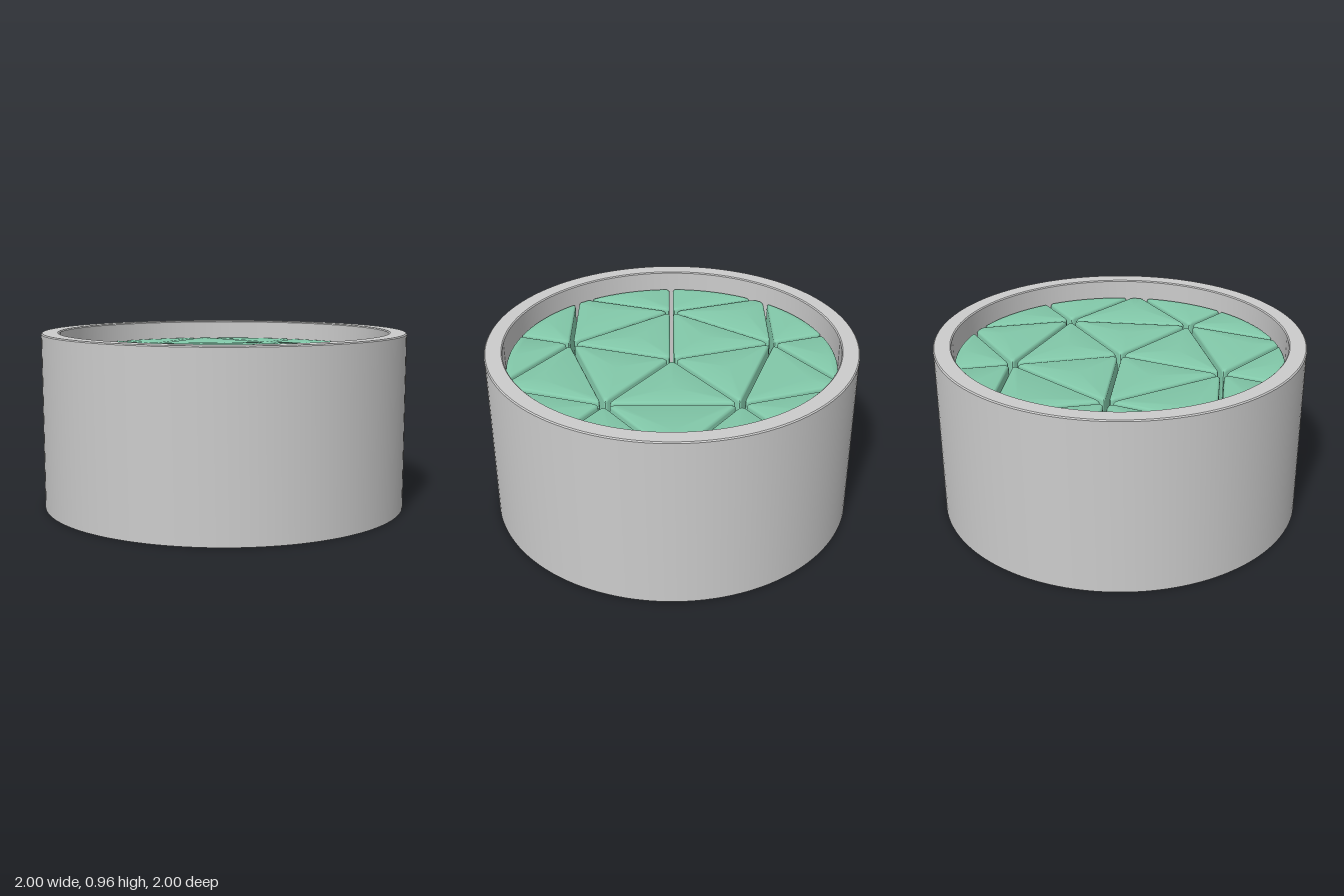
import * as THREE from 'three';
import { mergeVertices, toCreasedNormals } from 'three/addons/utils/BufferGeometryUtils.js';

const RING_R = 1, INNER_R = 0.905, HEIGHT = 0.957;
const NODE_R = 0.59, TILE_R = 0.893, HALF_GAP = 0.01;
const TILE_BOTTOM = 0.43, TILE_TOP = 0.852;

const V = (x, y) => new THREE.Vector2(x, y);

// Cut a convex polygon to the side of line a-b that lies at least d to its left.
function clip(poly, a, b, d) {
  const n = V(-(b.y - a.y), b.x - a.x).normalize();
  const dist = (p) => n.dot(p.clone().sub(a)) - d;
  const out = [];
  poly.forEach((p, i) => {
    const q = poly[(i + 1) % poly.length], dp = dist(p), dq = dist(q);
    if (dp >= 0) out.push(p);
    if (dp * dq < 0) out.push(p.clone().lerp(q, dp / (dp - dq)));
  });
  return out;
}

// Tile outline: a triangle shrunk by half the gap and trimmed to the round opening.
function tileOutline(corners) {
  const c = THREE.ShapeUtils.area(corners) < 0 ? [...corners].reverse() : corners;
  let poly = [];
  for (let i = 0; i < 128; i++) {
    const a = (i / 128) * Math.PI * 2;
    poly.push(V(Math.cos(a) * TILE_R, Math.sin(a) * TILE_R));
  }
  c.forEach((p, i) => { poly = clip(poly, p, c[(i + 1) % 3], HALF_GAP); });
  return poly.filter((p, i) => p.distanceTo(poly[(i + 1) % poly.length]) > 0.004);
}

// Move every edge of a convex outline inward by d.
function inset(poly, d) {
  const n = poly.length;
  return poly.map((p, i) => {
    const u = p.clone().sub(poly[(i + n - 1) % n]).normalize();
    const v = poly[(i + 1) % n].clone().sub(p).normalize();
    const k = d / (1 + u.dot(v));
    return V(p.x - (u.y + v.y) * k, p.y + (u.x + v.x) * k);
  });
}

// Round the sharp corners; the base outline decides which ones, so counts match.
function roundCorners(poly, base) {
  const n = poly.length, out = [];
  for (let i = 0; i < n; i++) {
    const b0 = base[(i + n - 1) % n], b1 = base[i], b2 = base[(i + 1) % n];
    const turn = b1.clone().sub(b0).normalize().dot(b2.clone().sub(b1).normalize());
    const p = poly[i], p0 = poly[(i + n - 1) % n], p2 = poly[(i + 1) % n];
    if (turn > 0.9) { out.push(p); continue; }
    const cut = (q) => p.clone().lerp(q, Math.min(0.4, 0.03 / p.distanceTo(q)));
    const curve = new THREE.QuadraticBezierCurve(cut(p0), p, cut(p2));
    out.push(...curve.getPoints(4));
  }
  return out;
}

// Deep tile, open underneath, with a softly bevelled top edge.
function tileGeometry(corners) {
  const base = tileOutline(corners);
  const levels = [
    [TILE_BOTTOM, 0], [TILE_TOP - 0.014, 0], [TILE_TOP - 0.008, 0.002],
    [TILE_TOP - 0.002, 0.007], [TILE_TOP, 0.013],
  ];
  const pos = [], index = [];
  let n = 0;
  for (const [y, d] of levels) {
    const loop = roundCorners(inset(base, d), base);
    n = loop.length;
    loop.forEach((p) => pos.push(p.x, y, p.y));
  }
  const last = (levels.length - 1) * n, centre = levels.length * n;
  const mid = corners.reduce((s, p) => s.add(p), V(0, 0)).divideScalar(3);
  // Trimmed tiles use the mean of their outline, which always lies inside
  if (base.length > 3) {
    mid.set(0, 0);
    base.forEach((p) => mid.add(p));
    mid.divideScalar(base.length);
  }
  pos.push(mid.x, TILE_TOP, mid.y);
  for (let i = 0; i < n; i++) {
    const j = (i + 1) % n;
    for (let l = 0; l < levels.length - 1; l++) {
      const a = l * n + i, b = l * n + j;
      index.push(a, a + n, b, b, a + n, b + n);
    }
    index.push(centre, last + j, last + i);
  }
  const g = new THREE.BufferGeometry();
  g.setAttribute('position', new THREE.Float32BufferAttribute(pos, 3));
  g.setIndex(index);
  return toCreasedNormals(mergeVertices(g, 1e-5), 0.6);
}

export function createModel() {
  const group = new THREE.Group();
  const grey = new THREE.MeshStandardMaterial({ color: 0xcccccc });
  const green = new THREE.MeshStandardMaterial({ color: 0x82c8a9, side: THREE.DoubleSide });

  // Round housing: a thick tube with lightly chamfered top edges
  const c = 0.006;
  const profile = [
    [INNER_R, 0], [RING_R, 0], [RING_R, HEIGHT - c], [RING_R - c, HEIGHT],
    [INNER_R + c, HEIGHT], [INNER_R, HEIGHT - c], [INNER_R, 0],
  ].map(([x, y]) => V(x, y));
  const ring = new THREE.Mesh(
    toCreasedNormals(new THREE.LatheGeometry(profile, 128), 0.5), grey);
  ring.name = 'housingRing';
  group.add(ring);

  // Mosaic of tiles, five-fold around the centre
  const mosaic = new THREE.Group();
  mosaic.name = 'tileMosaic';
  group.add(mosaic);
  const addTile = (name, corners) => {
    const tile = new THREE.Mesh(tileGeometry(corners), green);
    tile.name = name;
    mosaic.add(tile);
  };
  const node = (i) => {
    const a = (i * Math.PI * 2) / 5;
    return V(Math.cos(a) * NODE_R, Math.sin(a) * NODE_R);
  };
  for (let i = 0; i < 5; i++) {
    const a = node(i), b = node(i + 1), z = node(i - 1);
    addTile('innerTile', [V(0, 0), a, b]);
    addTile('middleTile', [a, b, a.clone().add(b)]);
    // Two rim tiles share the spoke that runs outward from each node
    for (const side of [b, z]) {
      addTile('rimTile', [a, a.clone().multiplyScalar(1.9), a.clone().addScaledVector(side, 1.4)]);
    }
  }
  return group;
}
